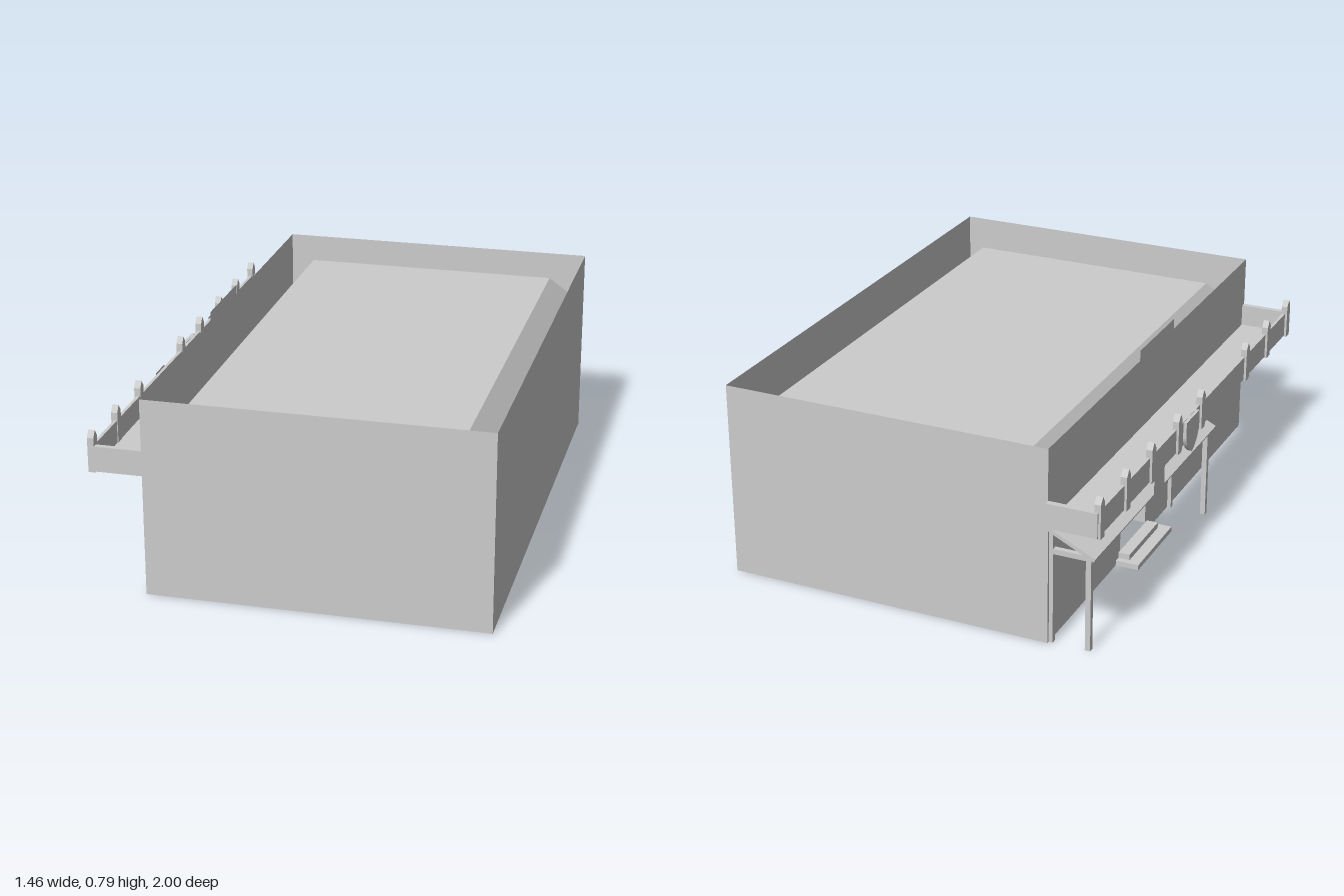
import * as THREE from 'three';

const plaster = new THREE.MeshStandardMaterial({ color: 0xcccccc, flatShading: true, side: THREE.DoubleSide });
plaster.name = 'grey plaster';

export function createModel() {
  const model = new THREE.Group();
  model.name = 'building';

  const add = (name, geometry) => {
    const mesh = new THREE.Mesh(geometry, plaster);
    mesh.name = name;
    model.add(mesh);
    return mesh;
  };
  // Box given by its minimum and maximum corners
  const box = (name, x0, x1, y0, y1, z0, z1) =>
    add(name, new THREE.BoxGeometry(x1 - x0, y1 - y0, z1 - z0)
      .translate((x0 + x1) / 2, (y0 + y1) / 2, (z0 + z1) / 2));
  // Flat four-sided face
  const quad = (name, ...corners) => {
    const [a, b, c, d] = corners;
    const g = new THREE.BufferGeometry();
    g.setAttribute('position', new THREE.Float32BufferAttribute([a, b, c, a, c, d].flat(), 3));
    g.computeVertexNormals();
    return add(name, g);
  };
  const polygon = (pts) => new THREE.Shape(pts.map(([z, y]) => new THREE.Vector2(z, y)));
  // Outline drawn in (z, y), facing -x; a depth thickens it towards -x
  const sidePanel = (name, shape, x, depth = 0) => {
    const g = depth
      ? new THREE.ExtrudeGeometry(shape, { depth, bevelEnabled: false, curveSegments: 6 })
      : new THREE.ShapeGeometry(shape, 6);
    return add(name, g.rotateY(-Math.PI / 2).translate(x, 0, 0));
  };

  // Arched doorway outline
  const doorZ = -0.195, doorR = 0.125, sill = 0.042, spring = 0.205;
  const archPoints = [[doorZ + doorR, sill]];
  for (let i = 0; i <= 12; i++) {
    const t = (i / 12) * Math.PI;
    archPoints.push([doorZ + doorR * Math.cos(t), spring + doorR * Math.sin(t)]);
  }
  archPoints.push([doorZ - doorR, sill]);
  const archHole = () => new THREE.Path(archPoints.map(([z, y]) => new THREE.Vector2(z, y)));

  // Outer shell: thin walls, the entrance side has a raised crest
  const X0 = -0.53, X1 = 0.73, Z0 = -0.98, Z1 = 1, H = 0.75;
  quad('frontWall', [X0, 0, Z1], [X1, 0, Z1], [X1, H, Z1], [X0, H, Z1]);
  quad('backWall', [X1, 0, Z0], [X0, 0, Z0], [X0, H, Z0], [X1, H, Z0]);
  quad('leftWall', [X1, 0, Z1], [X1, 0, Z0], [X1, H, Z0], [X1, H, Z1]);
  const entrance = polygon([[Z0, 0], [Z1, 0], [Z1, H], [0.18, H], [0.18, 0.79],
    [-0.16, 0.79], [-0.16, H], [Z0, H]]);
  entrance.holes.push(archHole());
  sidePanel('entranceWall', entrance, X0);

  // Inner room with its own walls
  const x0 = -0.48, x1 = 0.67, z0 = -0.96, z1 = 0.94, eaves = 0.59, ridge = 0.675;
  quad('innerFrontWall', [x1, sill, z1], [x0, sill, z1], [x0, eaves, z1], [x1, eaves, z1]);
  quad('innerBackWall', [x0, sill, z0], [x1, sill, z0], [x1, eaves, z0], [x0, eaves, z0]);
  quad('innerLeftWall', [x1, sill, z0], [x1, sill, z1], [x1, eaves, z1], [x1, eaves, z0]);
  const innerEntrance = polygon([[z0, sill], [z1, sill], [z1, eaves], [z0, eaves]]);
  innerEntrance.holes.push(archHole());
  sidePanel('innerEntranceWall', innerEntrance, x0);

  // Reveal joining the two arched openings
  for (let i = 0; i < archPoints.length - 1; i++) {
    const [za, ya] = archPoints[i], [zb, yb] = archPoints[i + 1];
    quad('archReveal', [X0, ya, za], [X0, yb, zb], [x0, yb, zb], [x0, ya, za]);
  }

  // Roof: flat centre with sloping margins
  const low = [[x0, eaves, z1], [x1, eaves, z1], [x1, eaves, z0], [x0, eaves, z0]];
  const top = [[-0.41, ridge, 0.86], [0.6, ridge, 0.86], [0.6, ridge, -0.88], [-0.41, ridge, -0.88]];
  quad('roofFlat', ...top);
  for (let i = 0; i < 4; i++) {
    const j = (i + 1) % 4;
    quad('roofSlope', low[i], low[j], top[j], top[i]);
  }

  // Entrance steps
  box('lowerStep', -0.62, X0, 0, 0.02, -0.36, -0.02);
  box('upperStep', -0.575, X0, 0.02, 0.042, -0.335, -0.05);

  // Porch: posts, cross beams and lean-to roof
  for (const z of [-0.96, 0.175]) {
    box('porchPost', -0.687, -0.667, 0, 0.37, z - 0.01, z + 0.01);
    box('porchWallPost', -0.545, X0, 0, 0.455, z - 0.01, z + 0.01);
    box('porchBeam', -0.687, X0, 0.35, 0.37, z - 0.01, z + 0.01);
  }
  const slab = new THREE.Shape([[-0.71, 0.375], [-0.704, 0.362], [-0.53, 0.447], [-0.53, 0.462]]
    .map(([x, y]) => new THREE.Vector2(x, y)));
  add('porchRoof', new THREE.ExtrudeGeometry(slab, { depth: 1.18, bevelEnabled: false })
    .translate(0, 0, -0.99));

  // Balcony trough
  box('balconyFloor', -0.71, X0, 0.46, 0.47, -1, 1);
  box('balconyParapet', -0.72, -0.708, 0.46, 0.555, -1, 1);
  for (const s of [-1, 1]) {
    box('balconyEnd', -0.71, X0, 0.46, 0.555, Math.min(s, s * 0.978), Math.max(s, s * 0.978));
  }

  // Parapet posts with pointed tops
  for (const z of [-0.975, -0.745, -0.51, -0.25, -0.01, 0.485, 0.735, 0.98]) {
    sidePanel('parapetPost', polygon([[z - 0.018, 0.455], [z + 0.018, 0.455],
      [z + 0.018, 0.585], [z, 0.61], [z - 0.018, 0.585]]), -0.705, 0.024);
  }

  // Hanging banners and the shield between them
  for (const z of [-0.447, 0.215]) {
    sidePanel('banner', polygon([[z - 0.05, 0.3], [z + 0.05, 0.3],
      [z + 0.05, 0.555], [z - 0.05, 0.555]]), -0.727);
  }
  const c = -0.135;
  const shield = new THREE.Shape();
  shield.moveTo(c - 0.065, 0.555);
  shield.lineTo(c - 0.065, 0.49);
  shield.quadraticCurveTo(c - 0.06, 0.445, c, 0.415);
  shield.quadraticCurveTo(c + 0.06, 0.445, c + 0.065, 0.49);
  shield.lineTo(c + 0.065, 0.555);
  sidePanel('shield', shield, -0.721, 0.013);

  return model;
}
